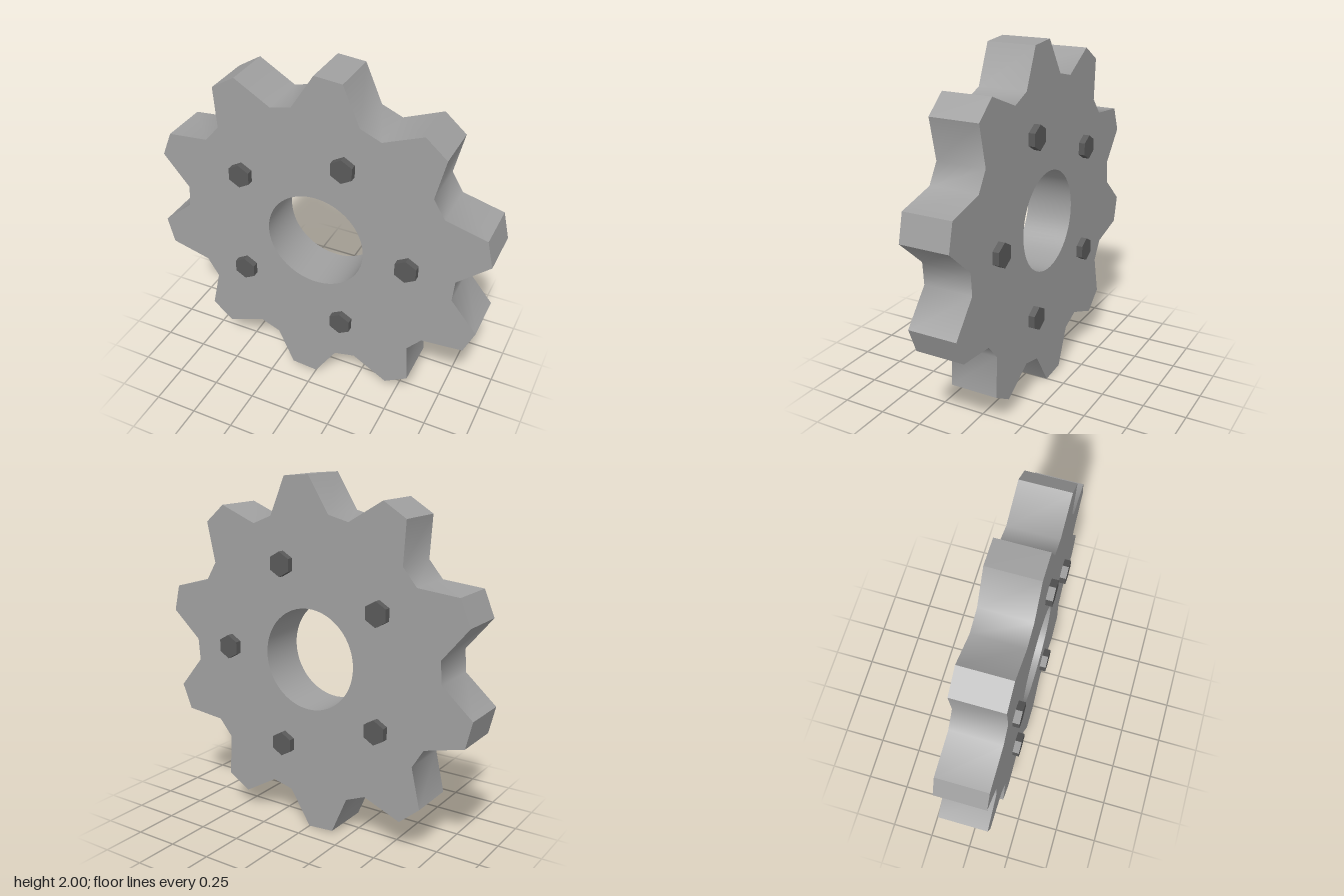
import * as THREE from 'three';
import { toCreasedNormals } from 'three/addons/utils/BufferGeometryUtils.js';

const TEETH = 10, TIP_R = 1, ROOT_R = 0.81, HOLE_R = 0.287;
const THICK = 0.28, BOLT_LENGTH = 0.355, BOLT_R = 0.07, BOLT_CIRCLE = 0.545;

export function createModel() {
  const steel = new THREE.MeshStandardMaterial({ color: 0xa0a0a0 });
  steel.name = 'light grey steel';
  const darkSteel = new THREE.MeshStandardMaterial({ color: 0x5a5a5a });
  darkSteel.name = 'dark grey steel';

  const model = new THREE.Group();
  model.name = 'sprocketWheel';

  // Toothed outline: two tip points, then two root points, every 9 degrees
  const step = (Math.PI * 2) / (TEETH * 4);
  const outline = [];
  for (let i = 0; i < TEETH * 4; i++) {
    const r = i % 4 < 2 ? TIP_R : ROOT_R;
    const a = step + i * step;
    outline.push(new THREE.Vector2(r * Math.cos(a), r * Math.sin(a)));
  }
  const shape = new THREE.Shape(outline);
  const bore = new THREE.Path();
  bore.absarc(0, 0, HOLE_R, 0, Math.PI * 2, true);
  shape.holes.push(bore);

  // Wheel body: sharp tips, softly shaded roots and bore
  const bodyGeo = new THREE.ExtrudeGeometry(shape, { depth: THICK, bevelEnabled: false, curveSegments: 32 });
  bodyGeo.translate(0, 0, -THICK / 2);
  const body = new THREE.Mesh(toCreasedNormals(bodyGeo, 0.9), steel);
  body.name = 'toothedWheel';
  body.position.y = 1;
  model.add(body);

  // Five hexagonal bolts passing through the wheel, a corner pointing up
  const boltGeo = toCreasedNormals(new THREE.CylinderGeometry(BOLT_R, BOLT_R, BOLT_LENGTH, 6).rotateX(Math.PI / 2), 0.5);
  for (let i = 0; i < 5; i++) {
    const a = (i * Math.PI * 2) / 5;
    const bolt = new THREE.Mesh(boltGeo, darkSteel);
    bolt.name = 'hexBolt' + (i + 1);
    bolt.position.set(BOLT_CIRCLE * Math.cos(a), 1 + BOLT_CIRCLE * Math.sin(a), 0);
    model.add(bolt);
  }
  return model;
}
